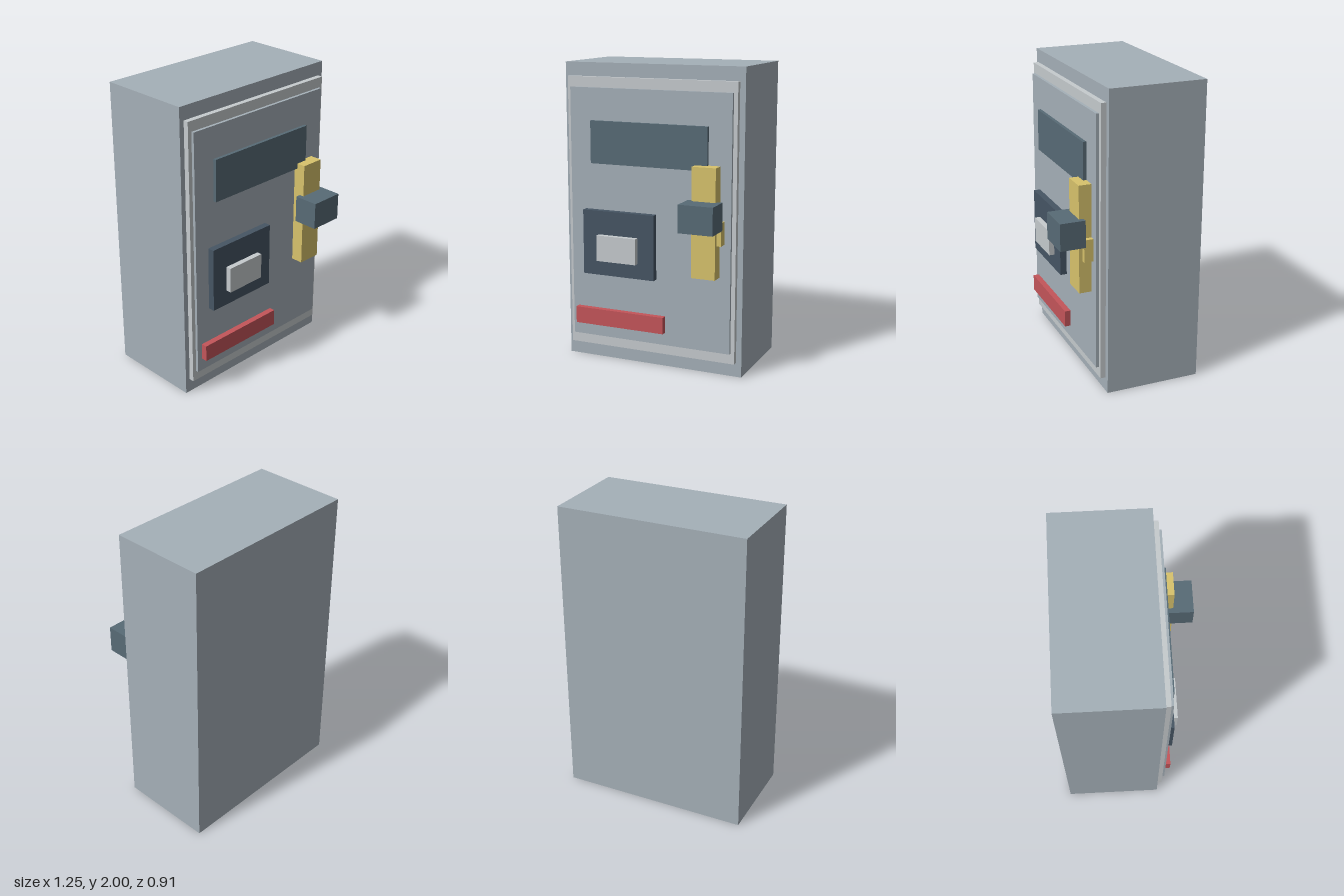
import * as THREE from 'three';

const STEEL = 0xa5b0b8, TRIM = 0xc6cbce, SLATE = 0x586b76, DARK = 0x465564, BRASS = 0xd8c36c, RED = 0xc4555a;

// Each part is a block: name, color, [x0, x1], [y0, y1], [z0, z1]
const PARTS = [
  ['cabinetBody', STEEL, [-0.626, 0.626], [0, 2], [-0.455, 0.182]],
  // stepped door
  ['doorFrame', TRIM, [-0.593, 0.589], [0.095, 1.91], [0.182, 0.217]],
  ['doorPanel', STEEL, [-0.566, 0.562], [0.165, 1.842], [0.217, 0.236]],
  ['upperWindow', SLATE, [-0.411, 0.407], [1.35, 1.63], [0.236, 0.258]],
  // control unit
  ['controlPlate', DARK, [-0.461, 0.048], [0.607, 1.041], [0.236, 0.281]],
  ['controlScreen', TRIM, [-0.347, -0.066], [0.71, 0.883], [0.281, 0.317]],
  ['warningStrip', RED, [-0.528, 0.112], [0.252, 0.364], [0.236, 0.276]],
  // latch
  ['latchPlate', BRASS, [0.327, 0.488], [0.67, 1.385], [0.236, 0.319]],
  ['latchTab', BRASS, [0.488, 0.519], [0.888, 1.037], [0.236, 0.297]],
  ['latchHandle', SLATE, [0.292, 0.523], [0.988, 1.168], [0.288, 0.455]],
];

export function createModel() {
  const group = new THREE.Group();
  group.name = 'cabinet';
  const materials = new Map();
  for (const [name, color, ...spans] of PARTS) {
    if (!materials.has(color)) materials.set(color, new THREE.MeshStandardMaterial({ color }));
    const size = spans.map(([a, b]) => b - a);
    const centre = spans.map(([a, b]) => (a + b) / 2);
    const mesh = new THREE.Mesh(new THREE.BoxGeometry(...size), materials.get(color));
    mesh.position.set(...centre);
    mesh.name = name;
    group.add(mesh);
  }
  return group;
}
